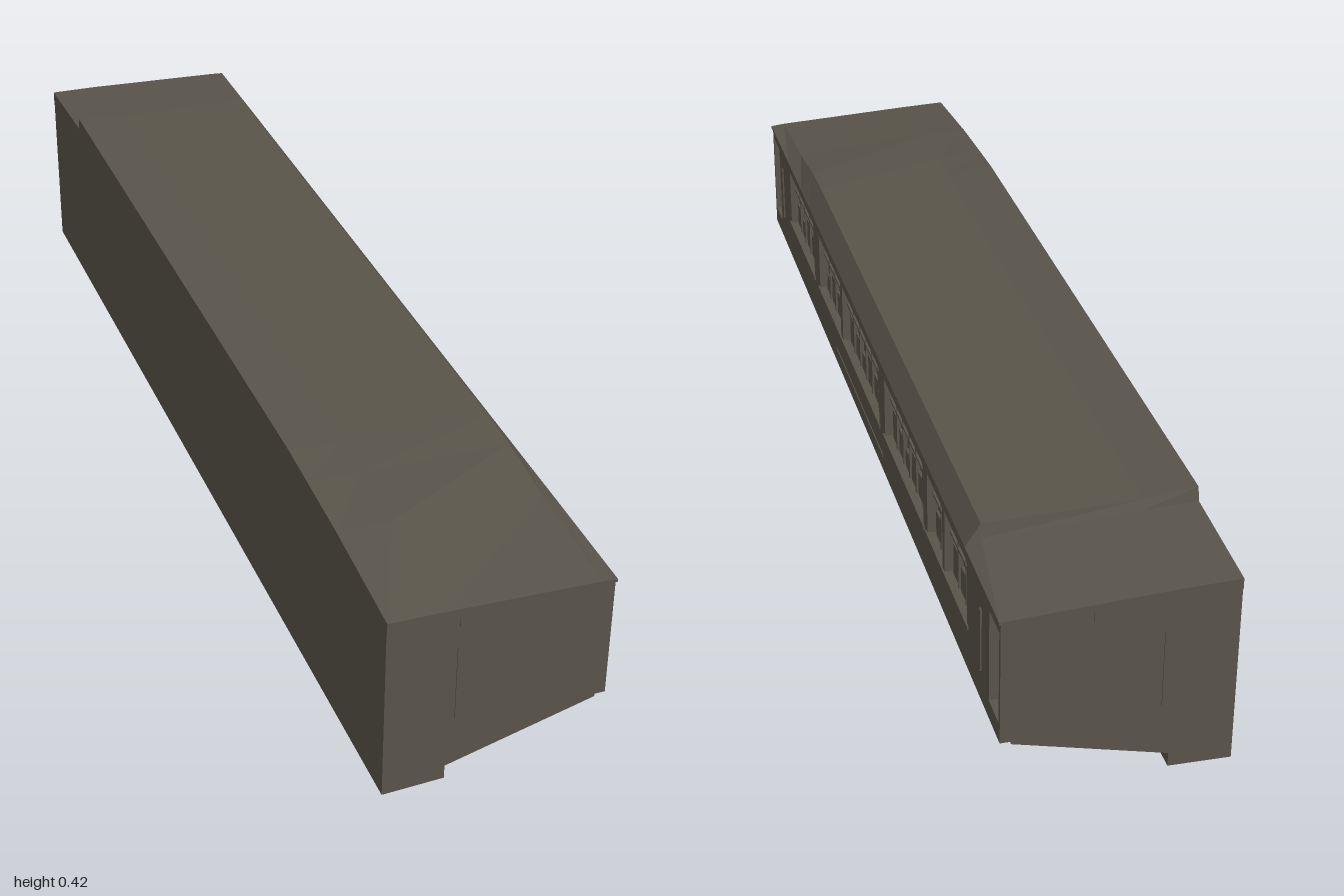
import * as THREE from 'three';

const paint = new THREE.MeshStandardMaterial({ color: 0x59544a });
paint.name = 'darkOlive';
paint.flatShading = true;

// Joins cross-sections of equal point count along ascending z, with end caps
function loft(sections) {
  const n = sections[0].ring.length, pos = [], idx = [];
  sections.forEach(s => s.ring.forEach(([x, y]) => pos.push(x, y, s.z)));
  for (let k = 0; k < sections.length - 1; k++) {
    for (let i = 0; i < n; i++) {
      const a = k * n + i, b = k * n + (i + 1) % n;
      idx.push(a, b, b + n, a, b + n, a + n);
    }
  }
  const last = (sections.length - 1) * n;
  for (let i = 1; i < n - 1; i++) {
    idx.push(0, i + 1, i, last, last + i, last + i + 1);
  }
  const g = new THREE.BufferGeometry();
  g.setAttribute('position', new THREE.Float32BufferAttribute(pos, 3));
  g.setIndex(idx);
  const flat = g.toNonIndexed();
  flat.computeVertexNormals();
  return flat;
}

function rectHole(z0, z1, y0, y1) {
  const p = new THREE.Path();
  p.moveTo(-z0, y0);
  p.lineTo(-z0, y1);
  p.lineTo(-z1, y1);
  p.lineTo(-z1, y0);
  p.closePath();
  return p;
}

export function createModel() {
  const model = new THREE.Group();
  model.name = 'railCar';
  const add = (name, geometry, parent = model) => {
    const m = new THREE.Mesh(geometry, paint);
    m.name = name;
    parent.add(m);
    return m;
  };
  // Box given by its limits on each axis
  const box = (name, x0, x1, y0, y1, z0, z1, parent) => {
    const m = add(name, new THREE.BoxGeometry(x1 - x0, y1 - y0, z1 - z0), parent);
    m.position.set((x0 + x1) / 2, (y0 + y1) / 2, (z0 + z1) / 2);
    return m;
  };

  // Body core with the low skirt on one side and the sloping floor
  const core = [[-0.2, 0.025], [-0.09, 0.028], [-0.09, 0.058], [0.176, 0.125], [0.176, 0.362], [-0.2, 0.362]];
  add('body', loft([-0.998, 0.998].map(z => ({ z, ring: core }))));

  // Window wall with recessed windows and end doors
  const windows = [[0.52, 0.79], [0.24, 0.46], [-0.12, 0.22], [-0.48, -0.17], [-0.62, -0.51], [-0.79, -0.635]];
  const wall = new THREE.Shape([[-0.998, 0.13], [0.998, 0.13], [0.998, 0.364], [-0.998, 0.364]]
    .map(p => new THREE.Vector2(...p)));
  windows.forEach(([a, b]) => wall.holes.push(rectHole(a, b, 0.218, 0.34)));
  [[0.92, 0.99], [-0.99, -0.93]].forEach(([a, b]) => wall.holes.push(rectHole(a, b, 0.165, 0.34)));
  const side = add('windowWall', new THREE.ExtrudeGeometry(wall, { depth: 0.019, bevelEnabled: false }));
  side.rotation.y = Math.PI / 2;
  side.position.x = 0.176;

  // Mullions, rails and seat backs inside each window
  const fittings = new THREE.Group();
  fittings.name = 'windowFittings';
  model.add(fittings);
  windows.forEach(([a, b]) => {
    const count = Math.max(2, Math.round((b - a) / 0.055));
    const step = (b - a) / count;
    for (let i = 0; i < count; i++) {
      const z = a + step * i;
      if (i > 0) box('mullion', 0.174, 0.184, 0.218, 0.34, z - 0.003, z + 0.003, fittings);
      const top = 0.255 + 0.012 * (i % 3);
      box('seatBack', 0.174, 0.181, 0.218, top, z + 0.008, z + step - 0.008, fittings);
    }
    box('windowRail', 0.174, 0.185, 0.296, 0.301, a, b, fittings);
    box('windowSill', 0.19, 0.198, 0.212, 0.219, a - 0.01, b + 0.01, fittings);
  });
  box('sideRail', 0.19, 0.197, 0.16, 0.165, -0.15, 0.29);
  for (const z of [0.88, -0.88]) box('doorHandrail', 0.19, 0.198, 0.19, 0.31, z - 0.004, z + 0.004);

  // Roof: heights at the four ridge lines, stepped at the back, ramped at the front
  const roof = [
    [-1, 0.381, 0.379, 0.367, 0.365],
    [-0.785, 0.392, 0.39, 0.378, 0.366],
    [-0.78, 0.417, 0.407, 0.404, 0.366],
    [0.55, 0.417, 0.407, 0.404, 0.366],
    [0.64, 0.412, 0.406, 0.4, 0.366],
    [0.78, 0.404, 0.402, 0.384, 0.366],
    [1, 0.383, 0.38, 0.368, 0.365],
  ];
  add('roof', loft(roof.map(([z, a, b, c, d]) => ({
    z, ring: [[-0.2, 0.36], [0.198, 0.36], [0.198, d], [0.17, c], [-0.105, b], [-0.2, a]],
  }))));

  // Shallow panels on both ends
  for (const s of [-1, 1]) {
    const ends = (name, x0, x1, y0, y1) =>
      box(name, x0, x1, y0, y1, s * 0.998 - 0.002, s * 0.998 + 0.002);
    ends('endHeader', -0.075, 0.045, 0.342, 0.366);
    ends('endPanelEdge', -0.077, -0.074, 0.155, 0.302);
  }

  // Underfloor equipment
  const under = new THREE.Group();
  under.name = 'underfloorEquipment';
  model.add(under);
  box('equipmentBox', -0.02, 0.042, 0.03, 0.1, 0.33, 0.405, under);
  box('equipmentBracket', 0.02, 0.068, 0.088, 0.102, 0.33, 0.4, under);
  const pipe = (name, points, r) => add(name, new THREE.TubeGeometry(
    new THREE.CatmullRomCurve3(points.map(p => new THREE.Vector3(...p))), 24, r, 6), under);
  pipe('brakePipe', [[-0.07, 0.045, -0.85], [-0.07, 0.045, 0], [-0.07, 0.045, 0.6]], 0.005);
  pipe('airPipe', [[-0.02, 0.08, -0.75], [-0.02, 0.06, -0.68], [-0.02, 0.055, 0], [-0.02, 0.055, 0.5], [-0.02, 0.08, 0.56]], 0.005);
  for (const z of [-0.8, -0.45, -0.1, 0.25, 0.52]) {
    box('pipeHanger', -0.077, -0.063, 0.04, 0.068, z - 0.006, z + 0.006, under);
    box('pipeHanger', -0.026, -0.014, 0.05, 0.08, z - 0.006, z + 0.006, under);
  }
  for (const z of [-0.78, 0.55]) box('valveBlock', -0.06, -0.025, 0.032, 0.075, z - 0.02, z + 0.02, under);
  const peg = add('drainPipe', new THREE.CylinderGeometry(0.006, 0.006, 0.06, 8), under);
  peg.position.set(-0.072, 0.03, 0.62);

  return model;
}
